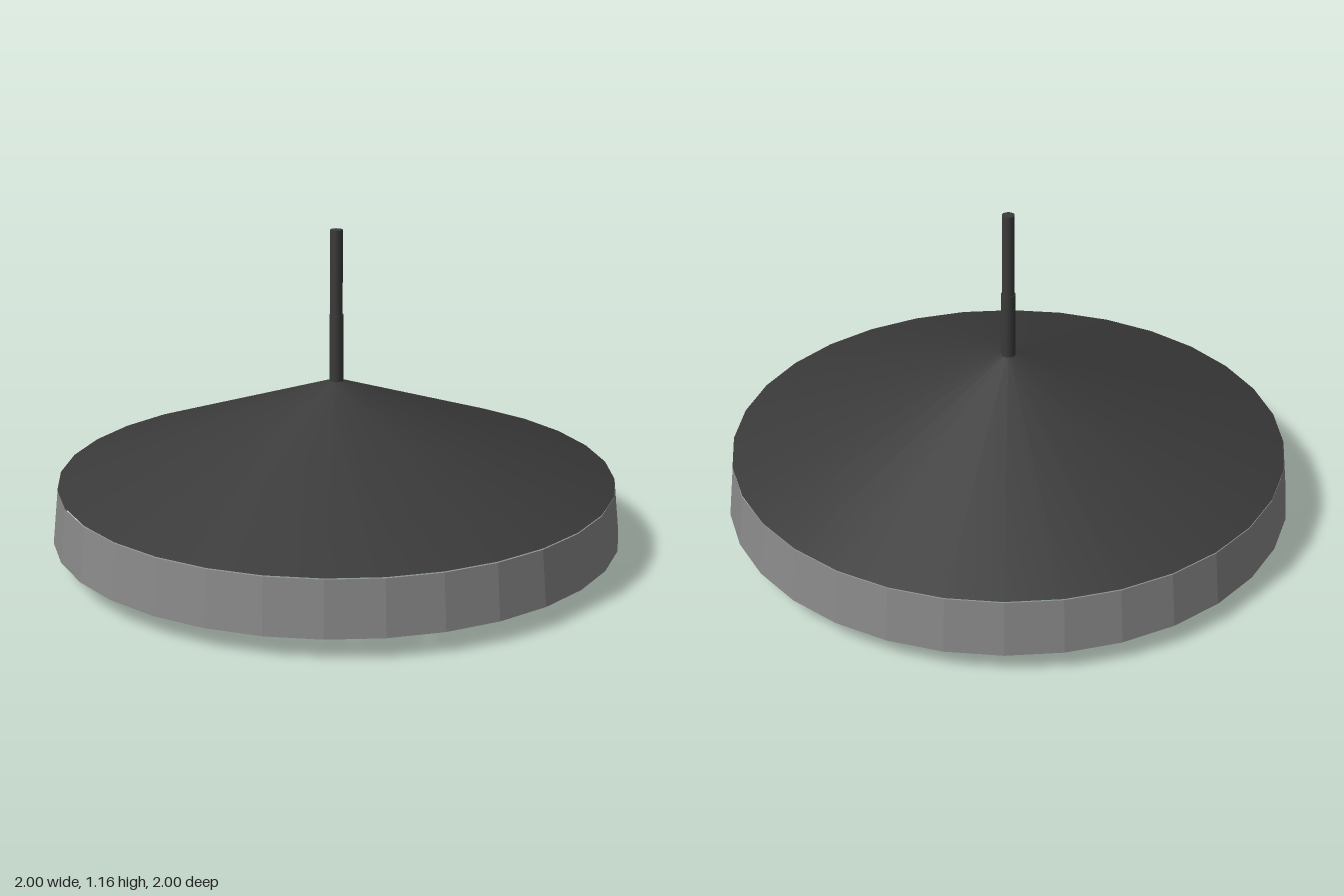
import * as THREE from 'three';

const SIDES = 32;

export function createModel() {
  const lamp = new THREE.Group();
  lamp.name = 'pendantLamp';

  const dark = new THREE.MeshStandardMaterial({ color: 0x3a3a3a });
  const band = new THREE.MeshStandardMaterial({ color: 0x888888, flatShading: true, side: THREE.DoubleSide });
  const yellow = new THREE.MeshStandardMaterial({ color: 0xdfdf5f, flatShading: true });

  // Places a geometry centred between two heights
  const add = (name, geometry, material, y) => {
    const mesh = new THREE.Mesh(geometry, material);
    mesh.name = name;
    mesh.position.y = y;
    lamp.add(mesh);
  };
  const tube = (name, rTop, rBottom, y0, y1, sides, material, open = false) =>
    add(name, new THREE.CylinderGeometry(rTop, rBottom, y1 - y0, sides, 1, open), material, (y0 + y1) / 2);

  // Closed conical shade
  tube('shade', 0, 0.98, 0.272, 0.632, SIDES, dark);

  // Open, slightly flared band below the shade
  tube('rimBand', 0.98, 1, 0.075, 0.268, SIDES, band, true);

  // Bulb, its upper half tucked inside the shade
  add('bulb', new THREE.SphereGeometry(0.26, SIDES, 16), yellow, 0.26);

  // Hanging rod with a slightly thicker lower sleeve
  tube('rod', 0.022, 0.022, 0.6, 1.16, 16, dark);
  tube('rodSleeve', 0.025, 0.025, 0.6, 0.86, 16, dark);

  return lamp;
}
